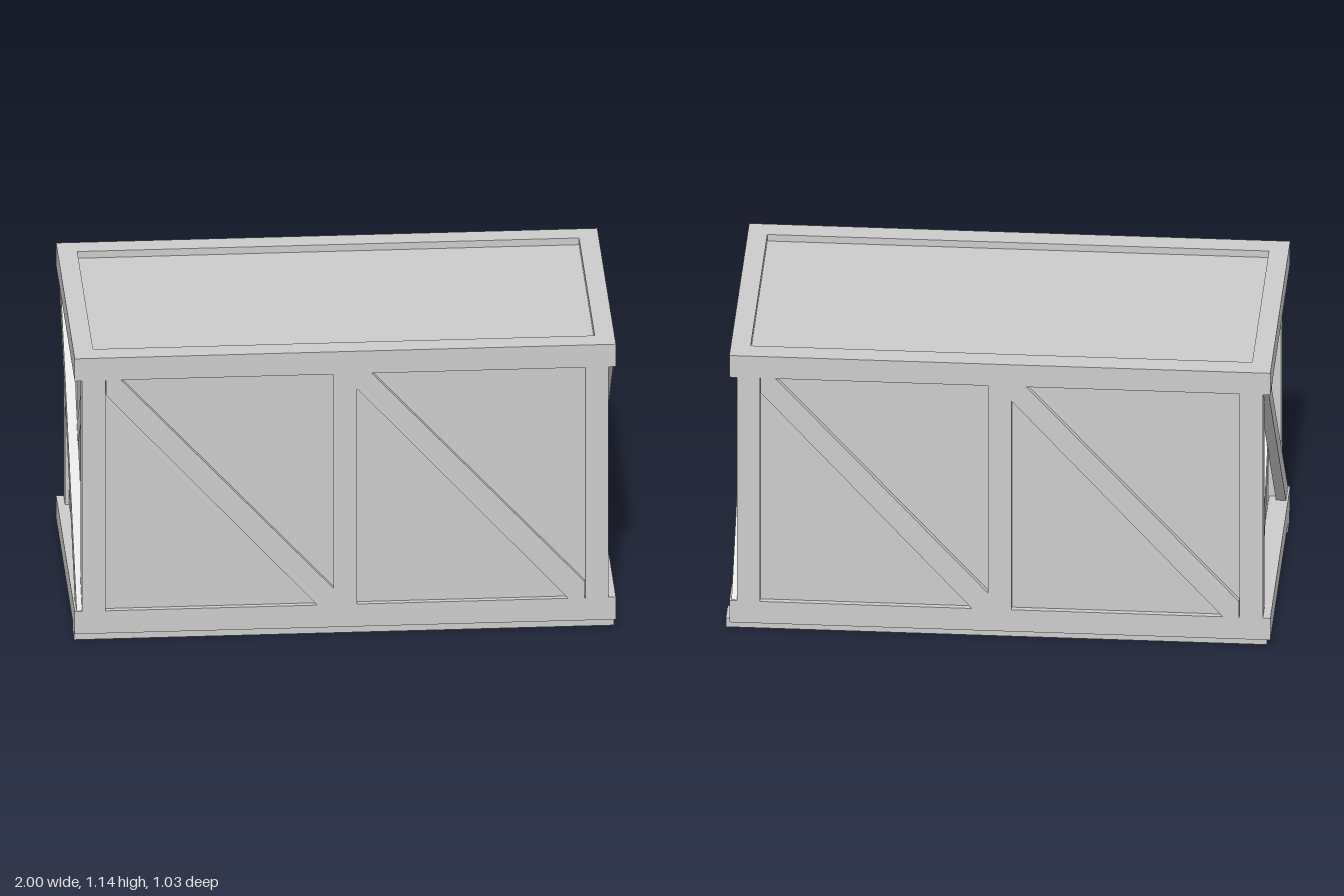
import * as THREE from 'three';

const mat = new THREE.MeshStandardMaterial({ color: 0xcccccc, flatShading: true });

// Half sizes of the frame and of the recessed panels
const HX = 0.9925, HZ = 0.517, PANEL_X = 0.921, PANEL_Z = 0.496;
const RAIL_LOW = 0.125, RAIL_HIGH = 1.05;

function add(parent, geometry, name) {
  const mesh = new THREE.Mesh(geometry, mat);
  mesh.name = name;
  parent.add(mesh);
  return mesh;
}

// Box given by its limits on each axis
function box(parent, name, x0, x1, y0, y1, z0, z1) {
  const g = new THREE.BoxGeometry(x1 - x0, y1 - y0, z1 - z0);
  g.translate((x0 + x1) / 2, (y0 + y1) / 2, (z0 + z1) / 2);
  return add(parent, g, name);
}

// Flat board cut to an outline, extruded from depth d0 to d1
function board(parent, name, points, d0, d1) {
  const shape = new THREE.Shape(points.map(([u, v]) => new THREE.Vector2(u, v)));
  const g = new THREE.ExtrudeGeometry(shape, { depth: d1 - d0, bevelEnabled: false });
  g.translate(0, 0, d0);
  return add(parent, g, name);
}

// Rectangular ring of rails
function railRing(parent, name, y0, y1) {
  const rect = (w, d) => [[-w, -d], [w, -d], [w, d], [-w, d]].map(([x, y]) => new THREE.Vector2(x, y));
  const shape = new THREE.Shape(rect(HX, HZ));
  shape.holes.push(new THREE.Path(rect(0.92, 0.435)));
  const g = new THREE.ExtrudeGeometry(shape, { depth: y1 - y0, bevelEnabled: false });
  g.rotateX(-Math.PI / 2).translate(0, y0, 0);
  return add(parent, g, name);
}

// One long side and one end; the other pair is the same turned half round
function makeHalf() {
  const half = new THREE.Group();
  for (const s of [-1, 1]) {
    const x = s * 0.9225;
    box(half, 'cornerPost', x - 0.0425, x + 0.0425, RAIL_LOW, RAIL_HIGH, 0.435, HZ);
  }
  box(half, 'middlePost', -0.0425, 0.0425, RAIL_LOW, RAIL_HIGH, 0.47, HZ);

  // Diagonal braces in the two bays of the long side
  for (const x of [-0.8775, 0.0425]) {
    board(half, 'sideBrace', [
      [x, RAIL_HIGH], [x, 0.99], [x + 0.775, RAIL_LOW],
      [x + 0.835, RAIL_LOW], [x + 0.835, 0.19], [x + 0.055, RAIL_HIGH],
    ], 0.47, HZ);
  }

  // Crossed braces on the end, drawn with u = -z
  const end = new THREE.Group();
  end.name = 'endBraces';
  end.rotation.y = Math.PI / 2;
  board(end, 'innerEndBrace', [
    [-0.435, RAIL_LOW], [-0.37, RAIL_LOW], [0.43, 0.99],
    [0.43, RAIL_HIGH], [0.38, RAIL_HIGH], [-0.435, 0.18],
  ], 0.9, 0.95);
  board(end, 'outerEndBrace', [
    [-0.5, RAIL_HIGH], [0.405, RAIL_LOW], [0.51, RAIL_LOW], [-0.405, RAIL_HIGH],
  ], 0.948, 0.985);
  half.add(end);
  return half;
}

export function createModel() {
  const model = new THREE.Group();
  model.name = 'crate';

  const body = new THREE.Group();
  body.name = 'crateBody';
  body.position.x = -0.0075;
  model.add(body);

  // Recessed panels, lid and floor
  box(body, 'panels', -PANEL_X, PANEL_X, 0.036, 1.113, -PANEL_Z, PANEL_Z);
  railRing(body, 'topRails', RAIL_HIGH, 1.14);
  railRing(body, 'bottomRails', 0.035, RAIL_LOW);

  ['frontAndLeftFrame', 'backAndRightFrame'].forEach((name, i) => {
    const half = makeHalf();
    half.name = name;
    half.rotation.y = i * Math.PI;
    body.add(half);
  });

  // Runners under the floor
  box(model, 'frontRunner', -1, 0.98, 0, 0.036, 0.39, 0.49);
  box(model, 'backRunner', -0.985, 1, 0, 0.036, -0.488, -0.388);
  return model;
}
